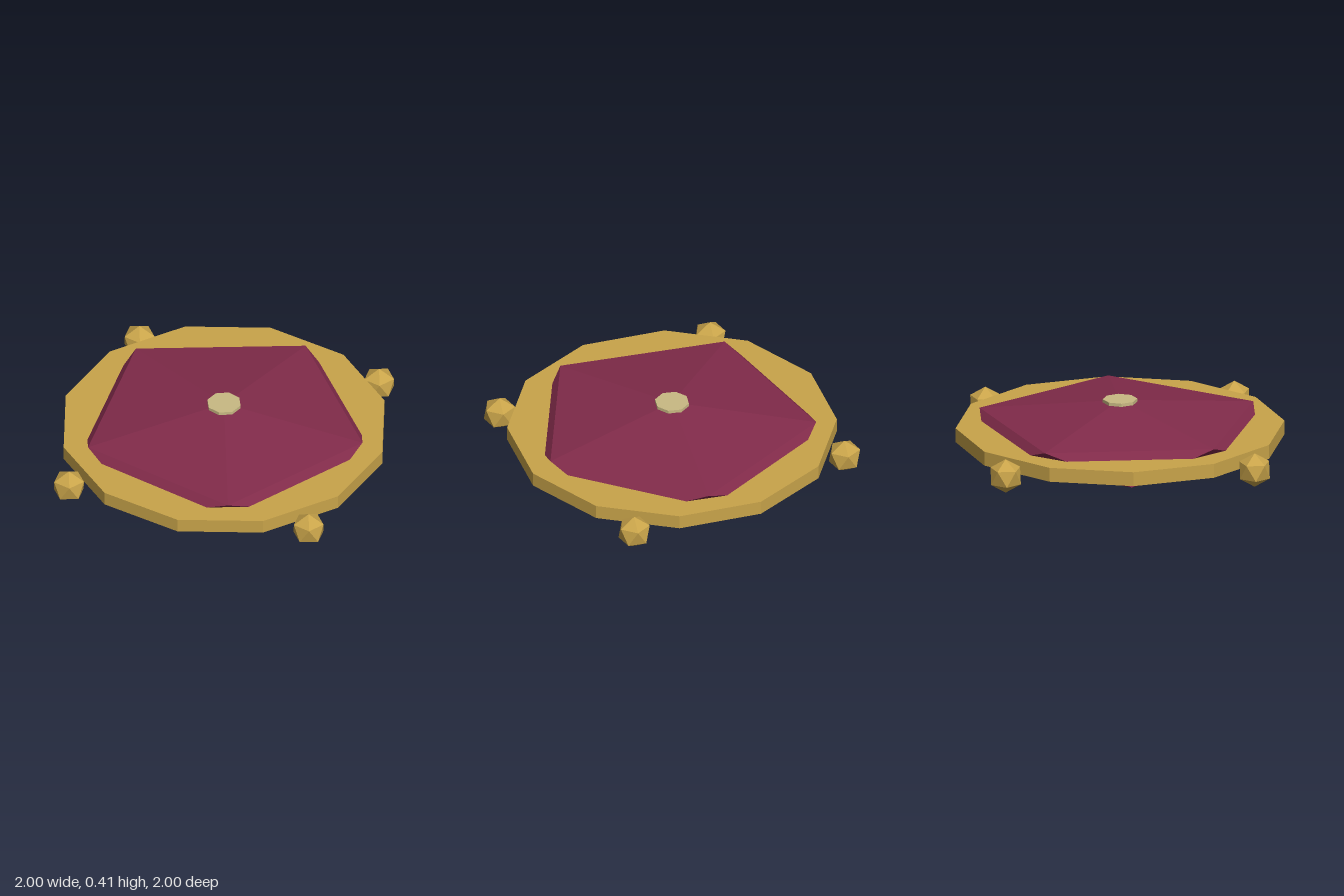
import * as THREE from 'three';

const gold = new THREE.MeshStandardMaterial({ color: 0xc9a44a });
gold.name = 'gold';
const burgundy = new THREE.MeshStandardMaterial({ color: 0x812b4a });
burgundy.name = 'burgundy';
const paleGold = new THREE.MeshStandardMaterial({ color: 0xc9b983 });
paleGold.name = 'pale gold';

// Twenty-sided gem with one corner straight up and an upper-ring corner towards +x
function gem(radius) {
  const golden = (1 + Math.sqrt(5)) / 2;
  return new THREE.IcosahedronGeometry(radius, 0).rotateZ(-Math.atan(1 / golden));
}

// Faceted disc with flat sides
function disc(radius, height, sides) {
  const geometry = new THREE.CylinderGeometry(radius, radius, height, sides).toNonIndexed();
  geometry.computeVertexNormals();
  return geometry;
}

export function createModel() {
  const group = new THREE.Group();
  const add = (name, geometry, material, x, y, z) => {
    const mesh = new THREE.Mesh(geometry, material);
    mesh.name = name;
    mesh.position.set(x, y, z);
    group.add(mesh);
  };

  // Flattened faceted body
  add('body', gem(0.978).scale(1, 0.2 / 0.978, 1), burgundy, 0, 0.2, 0);

  // Twelve-sided rim around the middle
  add('rim', disc(1, 0.088, 12), gold, 0, 0.201, 0);

  // Small cap on the apex
  add('topCap', disc(0.105, 0.02, 8), paleGold, 0, 0.397, 0);

  // Four studs at the diagonals
  const stud = gem(0.106);
  for (const x of [-0.757, 0.757])
    for (const z of [-0.757, 0.757])
      add(`${z > 0 ? 'front' : 'back'}${x > 0 ? 'Left' : 'Right'}Stud`, stud, gold, x, 0.167, z);

  return group;
}
